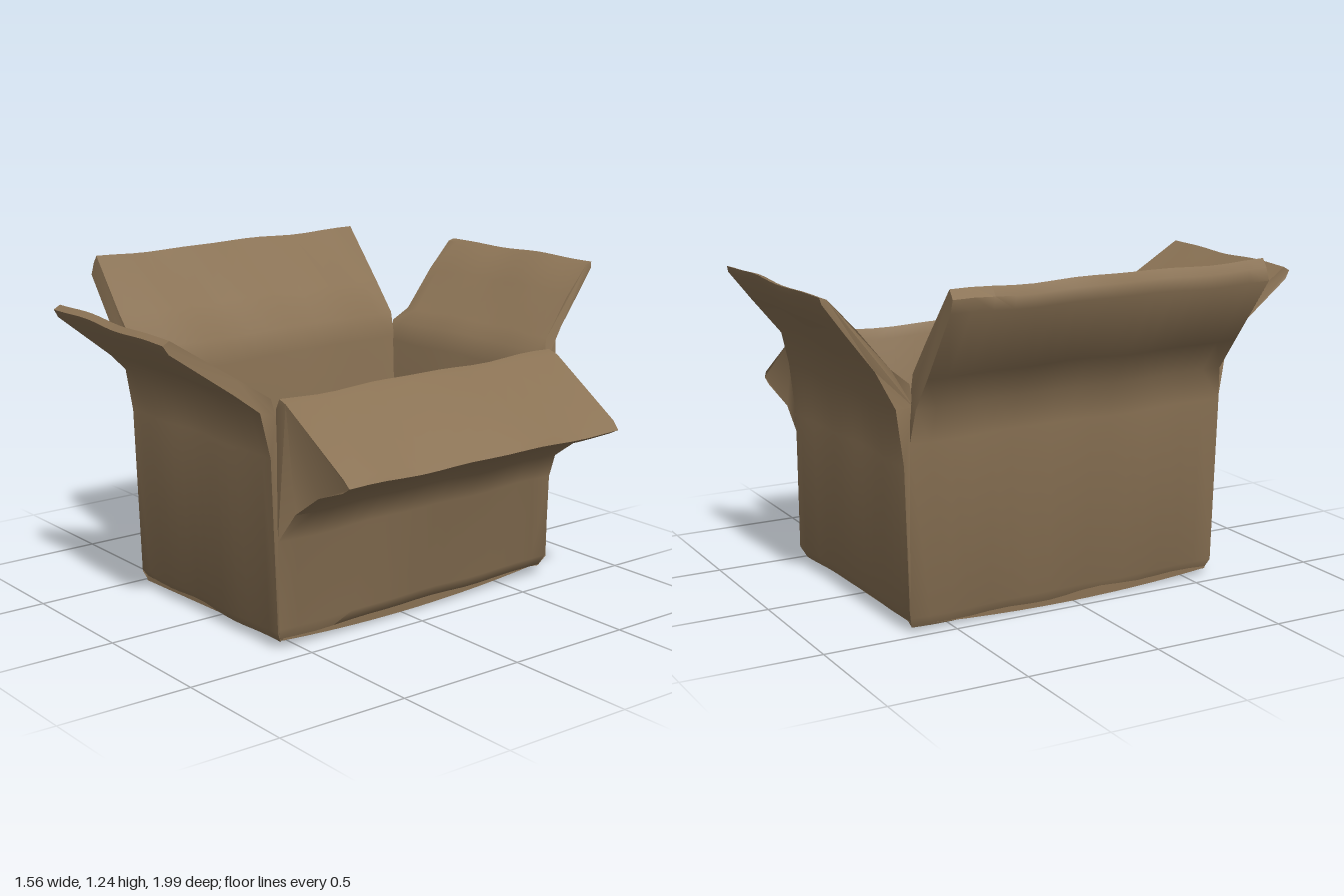
import * as THREE from 'three';
import { toCreasedNormals } from 'three/addons/utils/BufferGeometryUtils.js';

const STATIONS = 16;

// Gentle dents so the board looks soft and handled
const dent = (u, y) => 0.003 * Math.sin(u * 9 + y * 5) + 0.002 * Math.sin(u * 17 - y * 11);

// One wall with its flap, lofted along the wall from end a to end b.
// Each row: [out at a, out at b, height, a, b], from the outer foot up, over the flap and down inside.
function panel(name, axis, sign, rows, material) {
  const n = rows.length;
  const pos = [], index = [];
  for (let s = 0; s <= STATIONS; s++) {
    const t = s / STATIONS;
    for (const [oa, ob, y, a, b] of rows) {
      const u = a + (b - a) * t;
      const out = oa + (ob - oa) * t + dent(u, y);
      const h = y + dent(u + 2, out);
      if (axis === 'x') pos.push(out, h, u);
      else pos.push(u, h, out);
    }
  }
  const flip = (axis === 'x') !== (sign > 0);
  const tri = (a, b, c) => (flip ? index.push(a, c, b) : index.push(a, b, c));
  for (let s = 0; s < STATIONS; s++) {
    for (let i = 0; i < n; i++) {
      const j = (i + 1) % n;
      const p = s * n + i, q = s * n + j;
      tri(p, q, p + n);
      tri(q, q + n, p + n);
    }
  }
  // End caps
  const outline = rows.map(([oa, ob, y]) => new THREE.Vector2(sign * (oa + ob) / 2, y));
  const last = STATIONS * n;
  for (const [a, b, c] of THREE.ShapeUtils.triangulateShape(outline, [])) {
    tri(a, c, b);
    tri(last + a, last + b, last + c);
  }
  const geo = new THREE.BufferGeometry();
  geo.setAttribute('position', new THREE.Float32BufferAttribute(pos, 3));
  geo.setIndex(index);
  const mesh = new THREE.Mesh(toCreasedNormals(geo, 0.9), material);
  mesh.name = name;
  return mesh;
}

// Flat board of the floor, slightly turned with the box and sagging underneath
function board(name, x0, x1, y0, y1, z0, z1, material, sag) {
  const geo = new THREE.BoxGeometry(x1 - x0, y1 - y0, z1 - z0, 8, 1, 12);
  geo.translate((x0 + x1) / 2, (y0 + y1) / 2, (z0 + z1) / 2);
  const p = geo.attributes.position;
  for (let i = 0; i < p.count; i++) {
    const x = p.getX(i), y = p.getY(i), z = p.getZ(i);
    if (sag && y < (y0 + y1) / 2) p.setY(i, 0.03 * (z / 0.65) ** 2 + 0.012 * (x + 0.45));
    p.setX(i, x + 0.03 * z);
    p.setZ(i, z - 0.03 * x);
  }
  const mesh = new THREE.Mesh(toCreasedNormals(geo, 0.6), material);
  mesh.name = name;
  return mesh;
}

export function createModel() {
  const cardboard = new THREE.MeshStandardMaterial({ color: 0x8b7355 });
  cardboard.name = 'cardboard';
  const box = new THREE.Group();
  box.name = 'openBox';

  // Right wall: raised flap
  box.add(panel('rightWallAndFlap', 'x', -1, [
    [-0.465, -0.42, 0.02, -0.655, 0.585],
    [-0.485, -0.44, 0.06, -0.67, 0.6],
    [-0.495, -0.45, 0.68, -0.67, 0.615],
    [-0.51, -0.46, 0.8, -0.655, 0.61],
    [-0.6, -0.56, 0.92, -0.655, 0.6],
    [-0.775, -0.74, 1.16, -0.655, 0.605],
    [-0.782, -0.73, 1.205, -0.65, 0.6],
    [-0.75, -0.71, 1.235, -0.645, 0.6],
    [-0.58, -0.55, 1.035, -0.65, 0.6],
    [-0.47, -0.44, 0.915, -0.645, 0.6],
    [-0.455, -0.42, 0.82, -0.65, 0.6],
    [-0.425, -0.395, 0.03, -0.65, 0.58],
  ], cardboard));

  // Left wall: drooping flap, filled in underneath
  box.add(panel('leftWallAndFlap', 'x', 1, [
    [0.385, 0.42, 0.04, -0.69, 0.575],
    [0.405, 0.435, 0.08, -0.705, 0.59],
    [0.41, 0.435, 0.4, -0.705, 0.595],
    [0.465, 0.475, 0.5, -0.68, 0.55],
    [0.59, 0.59, 0.585, -0.67, 0.54],
    [0.74, 0.74, 0.64, -0.685, 0.555],
    [0.783, 0.775, 0.662, -0.685, 0.555],
    [0.755, 0.75, 0.69, -0.69, 0.56],
    [0.445, 0.46, 0.885, -0.7, 0.575],
    [0.4, 0.425, 0.897, -0.7, 0.575],
    [0.37, 0.405, 0.86, -0.7, 0.575],
    [0.36, 0.385, 0.03, -0.68, 0.57],
  ], cardboard));

  // Front wall and flap
  box.add(panel('frontWallAndFlap', 'z', 1, [
    [0.58, 0.57, 0.03, -0.42, 0.41],
    [0.605, 0.595, 0.07, -0.435, 0.43],
    [0.625, 0.615, 0.7, -0.44, 0.43],
    [0.65, 0.65, 0.86, -0.435, 0.42],
    [0.73, 0.74, 0.93, -0.4, 0.4],
    [0.94, 0.975, 1.095, -0.4, 0.38],
    [0.96, 0.995, 1.125, -0.395, 0.375],
    [0.935, 0.97, 1.14, -0.395, 0.375],
    [0.7, 0.71, 0.975, -0.395, 0.39],
    [0.615, 0.605, 0.905, -0.43, 0.42],
    [0.595, 0.585, 0.84, -0.43, 0.42],
    [0.57, 0.555, 0.03, -0.41, 0.4],
  ], cardboard));

  // Back wall and flap
  box.add(panel('backWallAndFlap', 'z', -1, [
    [-0.655, -0.685, 0.04, -0.46, 0.385],
    [-0.675, -0.705, 0.08, -0.485, 0.405],
    [-0.685, -0.71, 0.6, -0.49, 0.41],
    [-0.715, -0.735, 0.8, -0.485, 0.4],
    [-0.775, -0.785, 0.93, -0.45, 0.35],
    [-0.88, -0.9, 1.065, -0.455, 0.335],
    [-0.96, -0.985, 1.17, -0.46, 0.325],
    [-0.965, -0.99, 1.192, -0.455, 0.32],
    [-0.94, -0.965, 1.185, -0.455, 0.32],
    [-0.84, -0.855, 1.08, -0.455, 0.335],
    [-0.715, -0.735, 0.93, -0.445, 0.35],
    [-0.66, -0.69, 0.88, -0.475, 0.39],
    [-0.645, -0.67, 0.8, -0.475, 0.39],
    [-0.64, -0.66, 0.04, -0.46, 0.38],
  ], cardboard));

  // Floor with the two folded bottom boards inside
  box.add(board('floor', -0.445, 0.4, 0.02, 0.06, -0.665, 0.575, cardboard, true));
  box.add(board('frontBottomBoard', -0.42, 0.38, 0.055, 0.07, 0.15, 0.575, cardboard, false));
  box.add(board('backBottomBoard', -0.42, 0.38, 0.055, 0.07, -0.665, -0.25, cardboard, false));
  return box;
}
